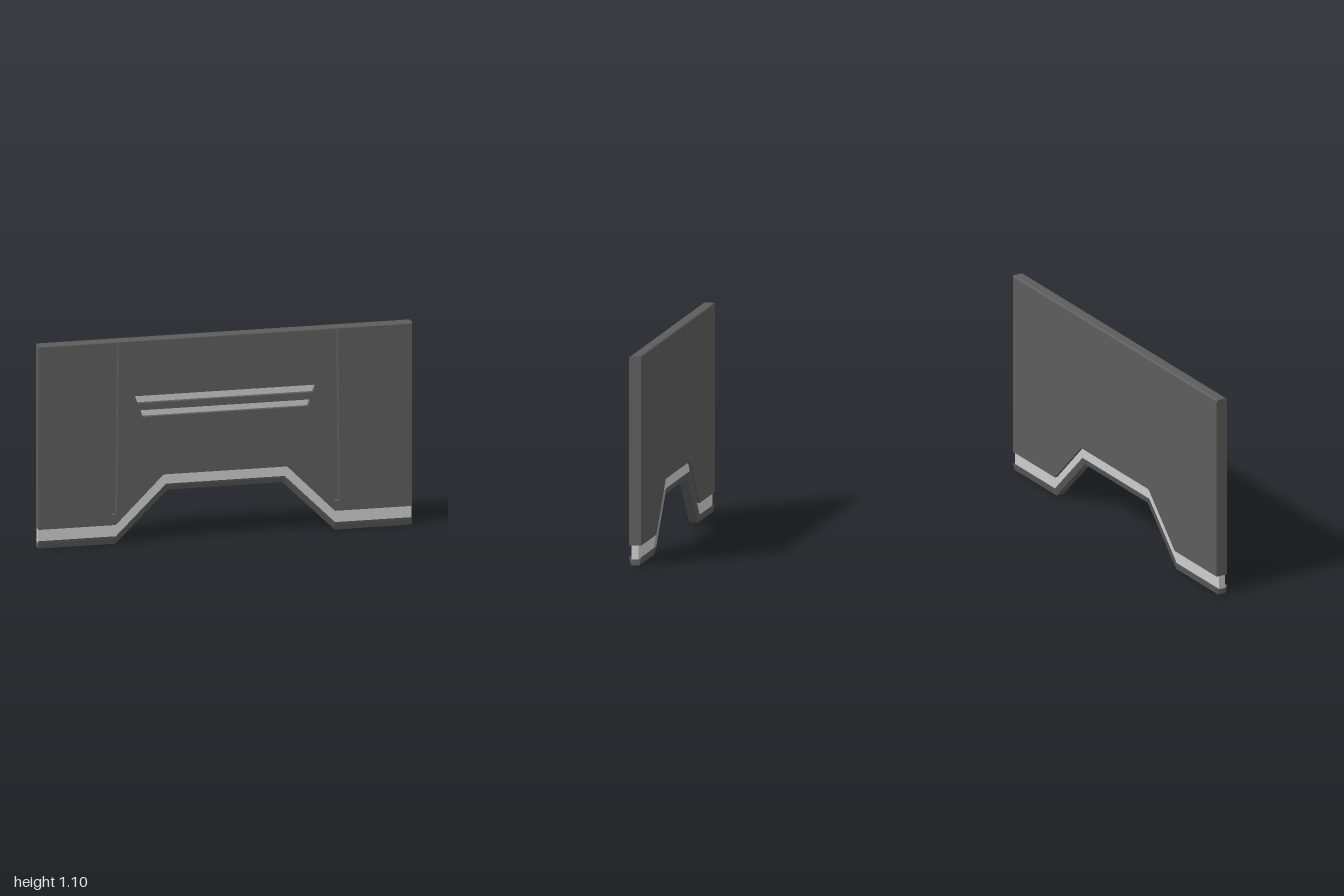
import * as THREE from 'three';

const dark = new THREE.MeshStandardMaterial({ color: 0x5c5c5c });
const light = new THREE.MeshStandardMaterial({ color: 0xcccccc });
const HALF = 0.032; // half thickness of the panel
const FLOOR = 0.006; // depth at which the recesses end

// Stepped lower edge of the panel, raised by h: six points from -x to +x
function edge(h) {
  const low = h, high = 0.275 + h * 0.83;
  const kneeLow = 0.587, kneeHigh = 0.308 + h * 0.22;
  return [[-1, low], [-kneeLow, low], [-kneeHigh, high], [kneeHigh, high], [kneeLow, low], [1, low]];
}

// Sweep a closed section of [h, z] points along the stepped edge, with flat ends
function sweepAlongEdge(section) {
  const n = section.length;
  const rings = section.map(([h, z]) => edge(h).map(([x, y]) => [x, y, z]));
  const pos = [];
  const tri = (a, b, c) => pos.push(...a, ...b, ...c);
  for (let i = 0; i < n; i++) {
    const a = rings[i], b = rings[(i + 1) % n];
    for (let s = 0; s < 5; s++) {
      tri(a[s], a[s + 1], b[s + 1]);
      tri(a[s], b[s + 1], b[s]);
    }
  }
  const flat = section.map(([h, z]) => new THREE.Vector2(z, h));
  for (const [i, j, k] of THREE.ShapeUtils.triangulateShape(flat, [])) {
    tri(rings[i][5], rings[k][5], rings[j][5]);
    tri(rings[i][0], rings[j][0], rings[k][0]);
  }
  const g = new THREE.BufferGeometry();
  g.setAttribute('position', new THREE.Float32BufferAttribute(pos, 3));
  g.computeVertexNormals();
  return g;
}

const polygon = (pts) => new THREE.Shape(pts.map(([x, y]) => new THREE.Vector2(x, y)));

function slab(shape, z0, z1) {
  const g = new THREE.ExtrudeGeometry(shape, { depth: z1 - z0, bevelEnabled: false });
  return g.translate(0, 0, z0);
}

export function createModel() {
  const group = new THREE.Group();
  const add = (name, geometry, material) => {
    const mesh = new THREE.Mesh(geometry, material);
    mesh.name = name;
    group.add(mesh);
  };

  // Panel body: plain rear layer and a front layer cut by slots and grooves
  const TOP = 1.088;
  const outline = [...edge(0.104), [1, TOP], [-1, TOP]];
  const slots = [
    [[-0.47, 0.755], [0.47, 0.755], [0.483, 0.795], [-0.483, 0.795]],
    [[-0.443, 0.68], [0.443, 0.68], [0.455, 0.717], [-0.455, 0.717]],
  ];
  const grooves = [1, -1].map((s) =>
    [[0.582, 0.16], [0.612, 0.16], [0.6, 1.087], [0.572, 1.087]].map(([x, y]) => [s * x, y]));
  const front = polygon(outline);
  front.holes = [...slots, ...grooves].map((pts) => polygon(pts));
  add('panelBack', slab(polygon(outline), -HALF, FLOOR), dark);
  add('panelFront', slab(front, FLOOR, HALF), dark);

  // Rounded top edge running the full width
  const r = 0.012;
  const cap = new THREE.Shape();
  cap.moveTo(-HALF, TOP);
  cap.lineTo(HALF, TOP);
  cap.absarc(HALF - r, TOP, r, 0, Math.PI / 2, false);
  cap.absarc(-HALF + r, TOP, r, Math.PI / 2, Math.PI, false);
  const capGeometry = new THREE.ExtrudeGeometry(cap, { depth: 2, bevelEnabled: false, curveSegments: 5 });
  capGeometry.rotateY(Math.PI / 2).translate(-1, 0, 0);
  add('topEdge', capGeometry, dark);

  // Pale inserts at the bottom of the slots
  slots.forEach((pts, i) => add(`slotInsert${i + 1}`, slab(polygon(pts), FLOOR - 0.002, FLOOR + 0.002), light));

  // Recessed pale strip between the panel and the bottom rail
  add('recessedStrip', sweepAlongEdge([[0.03, -0.018], [0.03, 0.018], [0.104, 0.018], [0.104, -0.018]]), light);

  // Tapered bottom rail with raised lips on both sides
  add('bottomRail', sweepAlongEdge([
    [0, -0.022], [0, 0.022], [0.03, HALF - 0.002], [0.043, HALF],
    [0.03, 0.018], [0.03, -0.018], [0.043, -HALF], [0.03, -HALF + 0.002],
  ]), dark);

  return group;
}
